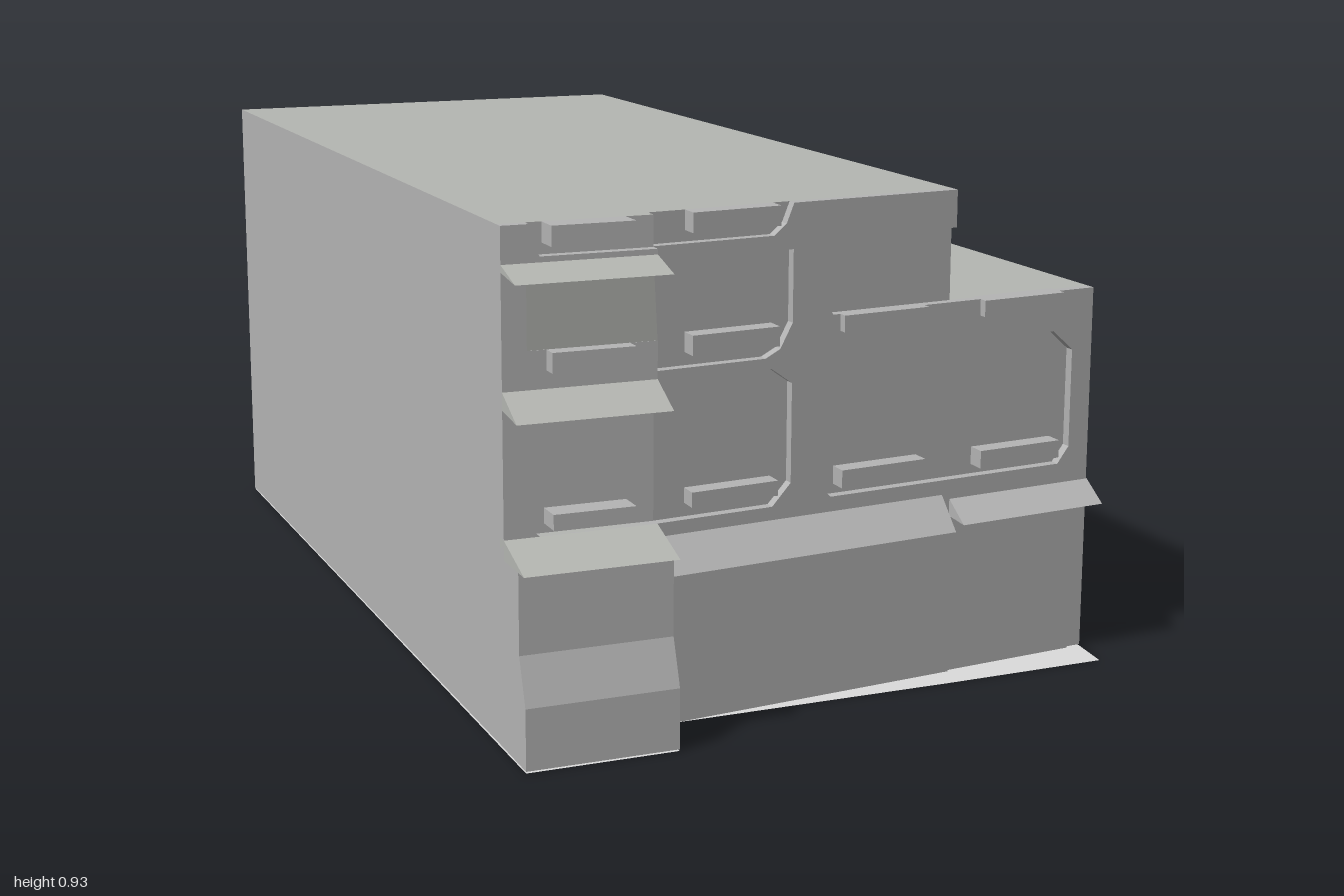
import * as THREE from 'three';

export function createModel() {
  const model = new THREE.Group();
  model.name = 'townBuilding';
  const material = (name, color, side = THREE.FrontSide) => {
    const m = new THREE.MeshStandardMaterial({ color, side });
    m.name = name;
    return m;
  };
  const wall = material('wall grey', 0xb5b5b5);
  const roof = material('roof grey', 0xb5b7b2);
  const panel = material('panel grey', 0xa3a5a0);
  const floor = material('floor light grey', 0xdcdcdc, THREE.DoubleSide);

  const RECESS = 0.02;
  const BAY = -0.327; // right-hand edge of the projecting bay
  const TALL = 0.302; // end of the taller block at the front
  const facadeZ = x => 0.77 + (0.62 - x) * 0.105; // oblique main facade

  const add = (name, geo, mat = wall) => {
    const mesh = new THREE.Mesh(geo, mat);
    mesh.name = name;
    model.add(mesh);
  };
  const shape = pts => new THREE.Shape(pts.map(p => new THREE.Vector2(...p)));
  const extrude = (s, depth) => new THREE.ExtrudeGeometry(s, { depth, bevelEnabled: false });

  // Shifts a geometry so that z = 0 lies on the oblique facade
  const shear = geo => {
    const p = geo.attributes.position;
    for (let i = 0; i < p.count; i++) p.setZ(i, p.getZ(i) + facadeZ(p.getX(i)));
    geo.computeVertexNormals();
    return geo;
  };

  // Vertical prism from a plan outline of [x, z] points
  const prism = (plan, y0, y1) =>
    extrude(shape(plan.map(([x, z]) => [x, -z])), y1 - y0).rotateX(-Math.PI / 2).translate(0, y0, 0);

  // Horizontal moulding from a [z, y] section
  const moulding = (section, x0, x1) =>
    extrude(shape(section), x1 - x0).rotateY(-Math.PI / 2).translate(x1, 0, 0);

  const block = (x0, x1, y0, y1, z0, z1) =>
    new THREE.BoxGeometry(x1 - x0, y1 - y0, z1 - z0)
      .translate((x0 + x1) / 2, (y0 + y1) / 2, (z0 + z1) / 2);

  // Main masses: full-width lower storeys and the taller part, roofs on the caps
  const frontLeft = [[BAY, facadeZ(BAY) - RECESS], [BAY, 0.875], [-0.61, 0.875]];
  add('lowerBody', prism([[-0.623, -0.99], [0.6, -1], [0.62, 0.75], ...frontLeft], 0.003, 0.717), [roof, wall]);
  add('upperBody', prism([[-0.623, -0.99], [0.288, -0.9974], [TALL, facadeZ(TALL) - RECESS], ...frontLeft], 0.717, 0.926), [roof, wall]);

  // Light ground slab, reaching a little in front of the oblique facade
  add('groundSlab', new THREE.ShapeGeometry(shape([
    [-0.623, 0.99], [-0.61, -1], [BAY, -1], [BAY, -0.87],
    [0.28, -0.867], [0.61, -0.86], [0.62, -0.77], [0.6, 1],
  ])).rotateX(-Math.PI / 2), floor);

  // Oblique facade skin, with window recesses cut in from its edges
  const skin = shape([
    [BAY, 0.003], [0.62, 0.003], [0.62, 0.717], [TALL, 0.717],
    [0.04, 0.717], [0.022, 0.735], [0.022, 0.83], [0.058, 0.856], [TALL, 0.856],
    [TALL, 0.926], [-0.045, 0.926], [-0.06, 0.89], [-0.085, 0.87], [BAY, 0.87],
    [BAY, 0.843], [-0.045, 0.843], [-0.045, 0.71], [-0.07, 0.665], [-0.1, 0.65], [BAY, 0.65],
    [BAY, 0.63], [-0.088, 0.63], [-0.045, 0.6], [-0.045, 0.415], [-0.083, 0.375], [BAY, 0.375],
  ]);
  skin.holes.push(new THREE.Path([
    [0.04, 0.378], [0.55, 0.378], [0.575, 0.41], [0.575, 0.6],
    [0.53, 0.64], [0.055, 0.64], [0.014, 0.59], [0.014, 0.405],
  ].map(p => new THREE.Vector2(...p))));
  add('facadeWall', shear(extrude(skin, RECESS).translate(0, 0, -RECESS)));

  // Ground floor steps back towards the corner
  add('groundPanel', shear(block(BAY, TALL, 0.003, 0.296, -0.005, 0.012)));
  add('groundPanel', shear(block(TALL, 0.585, 0.003, 0.306, -0.005, 0.006)));

  // Skin of the straight projecting bay
  add('bayWall', extrude(shape([
    [-0.61, 0.34], [BAY, 0.34], [BAY, 0.383], [-0.545, 0.383], [-0.57, 0.41],
    [-0.57, 0.602], [BAY, 0.602], [BAY, 0.71], [-0.565, 0.71], [-0.565, 0.84],
    [BAY, 0.84], [BAY, 0.87], [-0.54, 0.87], [-0.56, 0.895], [-0.56, 0.926], [-0.61, 0.926],
  ]), 0.02).translate(0, 0, 0.875));
  add('bayPanel', moulding([[0.87, 0.71], [0.894, 0.71], [0.877, 0.84], [0.87, 0.84]], -0.565, BAY), panel);

  // Flared base and sloping ledges of the bay
  add('bayBase', moulding([
    [0.86, 0.003], [1, 0.003], [1, 0.115], [0.97, 0.2], [0.97, 0.35], [0.86, 0.35],
  ], -0.61, BAY));
  add('bayLowerLedge', moulding([[0.87, 0.347], [1, 0.347], [0.895, 0.383], [0.87, 0.383]], -0.61, BAY), roof);
  for (const [y0, y1] of [[0.602, 0.642], [0.838, 0.86]]) {
    add('bayLedge', moulding([[0.87, y0 + 0.012], [0.97, y0], [0.895, y1], [0.87, y1]], -0.61, BAY), roof);
  }

  // Awnings above the ground floor
  for (const [x0, x1, y0, y1] of [[-0.315, 0.285, 0.293, 0.35], [TALL, 0.622, 0.304, 0.34]]) {
    add('awning', shear(moulding([[-0.01, y0 + 0.004], [0.058, y0], [0, y1], [-0.01, y1]], x0, x1)));
  }

  // Window sills: bay, then the oblique facade
  for (const [y0, y1] of [[0.4, 0.428], [0.674, 0.71], [0.89, 0.926]]) {
    add('baySill', block(-0.53, -0.378, y0, y1, 0.87, 0.925));
    add('windowSill', shear(block(-0.255, -0.08, y0, y1, -0.03, 0.018)));
  }
  for (const [y0, y1] of [[0.396, 0.43], [0.686, 0.717]]) {
    for (const [x0, x1] of [[0.055, 0.235], [0.36, 0.54]]) {
      add('windowSill', shear(block(x0, x1, y0, y1, -0.03, 0.018)));
    }
  }

  return model;
}
